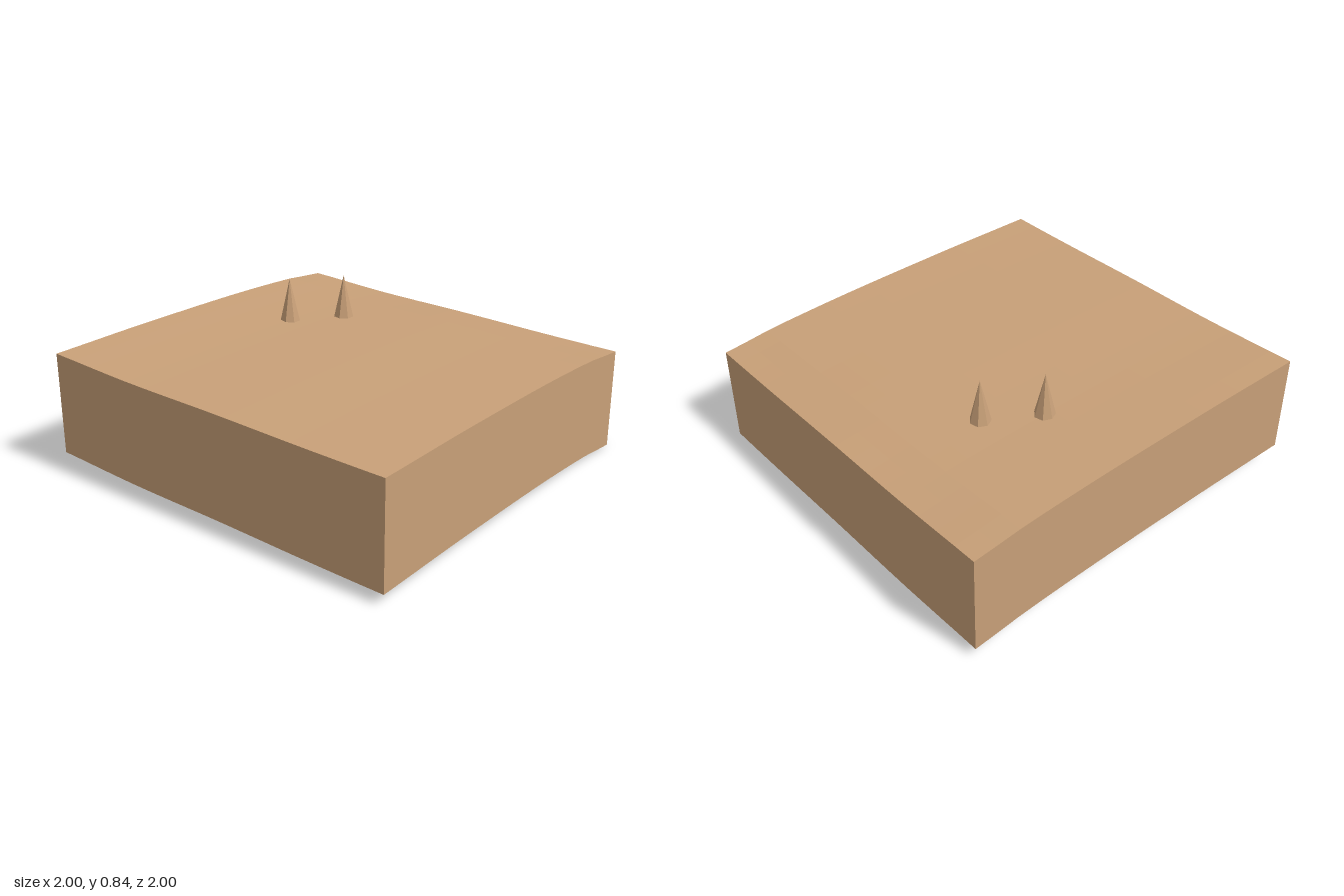
import * as THREE from 'three';

// Gentle rolling ground: one profile along x added to one along z
const profile = (ys) => new THREE.SplineCurve(ys.map((y, i) => new THREE.Vector2(i, y)));
const alongX = profile([0, 0.001, 0.002, 0, -0.003, -0.008, -0.017, -0.031, -0.057]);
const alongZ = profile([0.64, 0.628, 0.617, 0.612, 0.609, 0.603, 0.596, 0.591, 0.588]);
const at = (curve, v) => curve.getPoint(THREE.MathUtils.clamp((v + 1) / 2, 0, 1)).y;
const groundHeight = (x, z) => at(alongX, x) + at(alongZ, z);

const DEPTH = 0.531;
const SEGMENTS = 16;

// Drape a geometry: lift every vertex to the ground height above it
function drape(geometry) {
  const p = geometry.attributes.position;
  for (let i = 0; i < p.count; i++) {
    p.setY(i, p.getY(i) + groundHeight(p.getX(i), p.getZ(i)));
  }
  geometry.computeVertexNormals();
  return geometry;
}

export function createModel() {
  const sand = new THREE.MeshStandardMaterial({ color: 0xc8a078, flatShading: true, side: THREE.DoubleSide });
  sand.name = 'sand';
  const model = new THREE.Group();
  model.name = 'terrainBlock';
  const add = (name, geometry) => {
    const mesh = new THREE.Mesh(geometry, sand);
    mesh.name = name;
    model.add(mesh);
    return mesh;
  };

  // Ground surface
  add('ground', drape(new THREE.PlaneGeometry(2, 2, SEGMENTS, SEGMENTS).rotateX(-Math.PI / 2)));

  // Four skirt walls hanging from the ground edge, open underneath
  ['frontWall', 'leftWall', 'backWall', 'rightWall'].forEach((name, i) => {
    const wall = new THREE.PlaneGeometry(2, DEPTH, SEGMENTS, 1);
    wall.translate(0, -DEPTH / 2, 1).rotateY((i * Math.PI) / 2);
    add(name, drape(wall));
  });

  // Two slender seven-sided spikes
  const spike = new THREE.ConeGeometry(0.053, 0.23, 7, 1, false, Math.PI);
  [[0.165, 0.725, -0.5], [0.415, 0.716, -0.333]].forEach(([x, y, z], i) => {
    add('spike' + (i + 1), spike).position.set(x, y, z);
  });

  return model;
}
